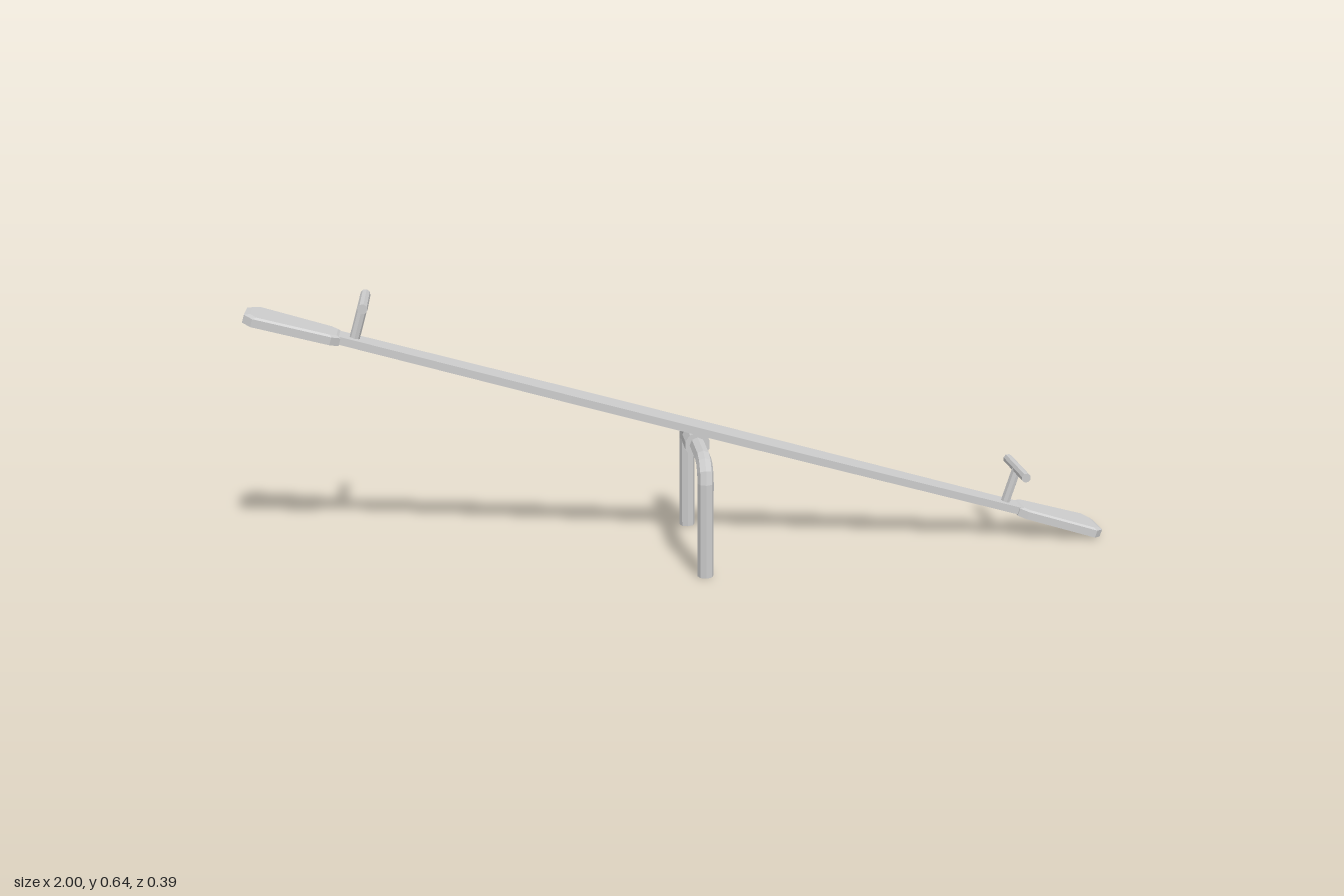
import * as THREE from 'three';
import { ConvexGeometry } from 'three/addons/geometries/ConvexGeometry.js';

const grey = new THREE.MeshStandardMaterial({ color: 0xcccccc, flatShading: true });

function part(name, geometry, parent) {
  const mesh = new THREE.Mesh(geometry, grey);
  mesh.name = name;
  parent.add(mesh);
  return mesh;
}

// Convex solid from layers: each is a height and a half outline of [x, half width]
function layered(layers) {
  const points = [];
  for (const [y, outline] of layers)
    for (const [x, w] of outline)
      points.push(new THREE.Vector3(x, y, w), new THREE.Vector3(x, y, -w));
  return new ConvexGeometry(points);
}

// Round pipe through points lying in the z-y plane, with mitred bends
function pipe(path, radius, sides) {
  const n = path.length - 1;
  const geo = new THREE.CylinderGeometry(radius, radius, 1, sides, n);
  const pos = geo.attributes.position;
  const xAxis = new THREE.Vector3(1, 0, 0);
  const v = new THREE.Vector3();
  for (let k = 0; k < pos.count; k++) {
    v.fromBufferAttribute(pos, k);
    const i = Math.round((v.y + 0.5) * n);
    const tangent = path[Math.min(i + 1, n)].clone().sub(path[Math.max(i - 1, 0)]).normalize();
    const side = xAxis.clone().cross(tangent);
    const p = path[i].clone().addScaledVector(xAxis, v.x).addScaledVector(side, v.z);
    pos.setXYZ(k, p.x, p.y, p.z);
  }
  geo.computeVertexNormals();
  return geo;
}

export function createModel() {
  const model = new THREE.Group();
  model.name = 'seesaw';

  // Bent pipe stand
  const path = [new THREE.Vector3(0, 0.003, 0.175)];
  const bend = 0.045, steps = 3;
  for (let i = 0; i <= steps; i++) {
    const a = (i / steps) * Math.PI / 2;
    path.push(new THREE.Vector3(0, 0.226 + bend * Math.sin(a), 0.13 + bend * Math.cos(a)));
  }
  const mirrored = path.map(p => new THREE.Vector3(0, p.y, -p.z)).reverse();
  part('stand', pipe([...path, ...mirrored], 0.0185, 8), model).position.x = 0.012;

  // Collar that lets the beam turn on the stand
  const collar = part('pivotCollar', new THREE.CylinderGeometry(0.03, 0.03, 0.06, 10), model);
  collar.rotation.x = Math.PI / 2;
  collar.position.set(0.012, 0.271, 0);

  // Tilted beam carrying seats and handles
  const beam = new THREE.Group();
  beam.name = 'beam';
  beam.position.y = 0.3094;
  beam.rotation.z = -0.289;
  model.add(beam);

  const plank = [[-0.84, 0.028], [-0.29, 0.035], [0, 0.036], [0.29, 0.035], [0.84, 0.028]];
  part('plank', layered([[-0.009, plank], [0.009, plank]]), beam);

  const outer = [[0.825, 0.031], [0.845, 0.043], [1.02, 0.056], [1.04, 0.035]];
  const inner = [[0.835, 0.029], [0.85, 0.039], [1.012, 0.051], [1.027, 0.033]];
  for (const s of [1, -1]) {
    const end = s > 0 ? 'left' : 'right';
    const flip = outline => outline.map(([x, w]) => [s * x, w]);

    // Tapered seat with a bevelled top edge
    part(end + 'Seat', layered([[-0.0115, flip(outer)], [0.007, flip(outer)], [0.0115, flip(inner)]]), beam);

    // T-shaped handle
    const handle = new THREE.Group();
    handle.name = end + 'Handle';
    handle.position.x = s * 0.795;
    beam.add(handle);
    part('handlePost', new THREE.CylinderGeometry(0.0115, 0.0115, 0.094, 8), handle).position.y = 0.047;
    const bar = part('handleBar', new THREE.CylinderGeometry(0.0115, 0.0115, 0.152, 8), handle);
    bar.rotation.x = Math.PI / 2;
    bar.position.y = 0.0945;
  }
  return model;
}
